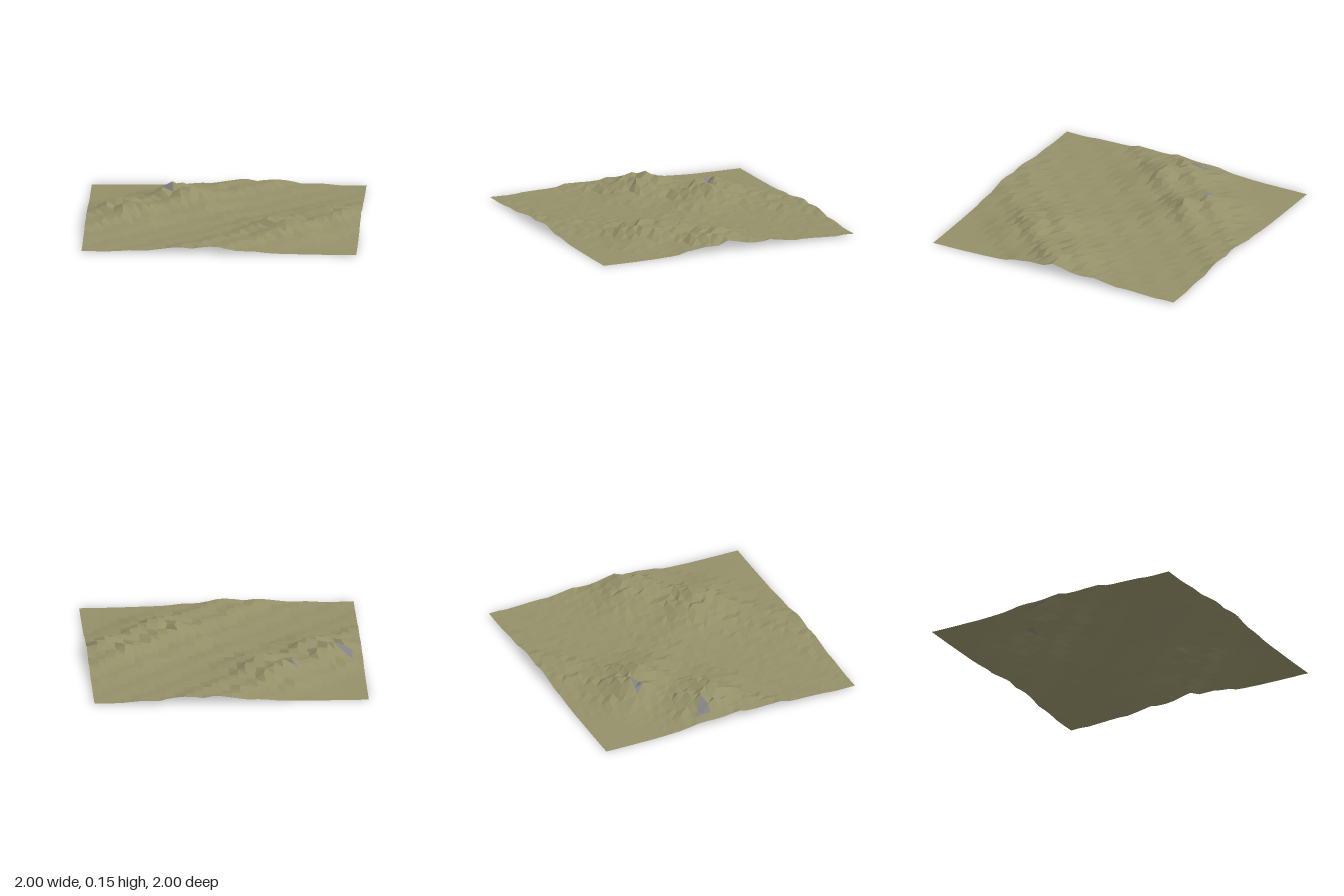
import * as THREE from 'three';

const SEGMENTS = 30;

// Bell curve used to place ridges and mounds
const bell = (t, centre, width) => Math.exp(-(((t - centre) / width) ** 2));

// Small repeatable noise in -1..1
const noise = (i, k) => {
  const s = Math.sin(i * 12.9898 + k * 78.233) * 43758.5453;
  return 2 * (s - Math.floor(s)) - 1;
};

// Ripple with a long gentle back face and a steep front face
function ripple(u, v) {
  const t = (u + 0.802 + 0.02 * Math.sin(22 * v)) / 0.225;
  const f = t - Math.floor(t);
  return f < 0.7 ? f / 0.7 : (1 - f) / 0.3;
}

// Two diagonal dune ridges, each swelling into mounds along its length
function height(x, z) {
  const u = (x + z) / Math.SQRT2;   // across the ridges
  const v = (x - z) / Math.SQRT2;   // along the ridges
  const backMounds = 0.056 + 0.112 * bell(v, 0.09, 0.19) + 0.09 * bell(v, -0.45, 0.2);
  const frontMounds = 0.056 + 0.078 * bell(v, 0.03, 0.2) + 0.068 * bell(v, 0.53, 0.2);
  const swell = bell(u, -0.56, 0.29) * backMounds + bell(u, 0.6, 0.29) * frontMounds;
  const saddle = bell(u, 0.03, 0.35) * (0.012 + 0.014 * bell(v, 0.05, 0.25));
  return 0.008 + (saddle + swell) * (0.6 + 0.45 * ripple(u, v));
}

// Exposed stone on the slopes: [x, z, radius]
const STONES = [[-0.88, -0.17, 0.06], [-0.45, -0.48, 0.05]];

export function createModel() {
  const model = new THREE.Group();

  // Faceted sheet of ground, its facets split across the ridges
  const ground = new THREE.PlaneGeometry(2, 2, SEGMENTS, SEGMENTS)
    .rotateX(-Math.PI / 2).rotateY(Math.PI / 2);
  const pos = ground.attributes.position;
  let lowest = Infinity;
  for (let i = 0; i < pos.count; i++) {
    let x = pos.getX(i), z = pos.getZ(i);
    if (Math.abs(x) < 0.999) x += 0.014 * noise(i, 1);
    if (Math.abs(z) < 0.999) z += 0.014 * noise(i, 2);
    const y = height(x, z);
    pos.setXYZ(i, x, y + 0.05 * y * noise(i, 3), z);
    lowest = Math.min(lowest, pos.getY(i));
  }
  ground.translate(0, -lowest, 0);

  // Sort the faces into sand and stone
  const sandFaces = [], stoneFaces = [];
  const index = ground.index.array;
  for (let i = 0; i < index.length; i += 3) {
    const face = [index[i], index[i + 1], index[i + 2]];
    const cx = face.reduce((s, a) => s + pos.getX(a), 0) / 3;
    const cz = face.reduce((s, a) => s + pos.getZ(a), 0) / 3;
    const isStone = STONES.some(([x, z, r]) => Math.hypot(cx - x, cz - z) < r);
    (isStone ? stoneFaces : sandFaces).push(...face);
  }

  const addSurface = (name, faces, color) => {
    const geometry = ground.clone();
    geometry.setIndex(faces);
    geometry.computeVertexNormals();
    const material = new THREE.MeshStandardMaterial({ color, flatShading: true, side: THREE.DoubleSide });
    const mesh = new THREE.Mesh(geometry, material);
    mesh.name = name;
    model.add(mesh);
  };
  addSurface('duneGround', sandFaces, 0x949069);
  addSurface('exposedStone', stoneFaces, 0x828284);

  return model;
}
